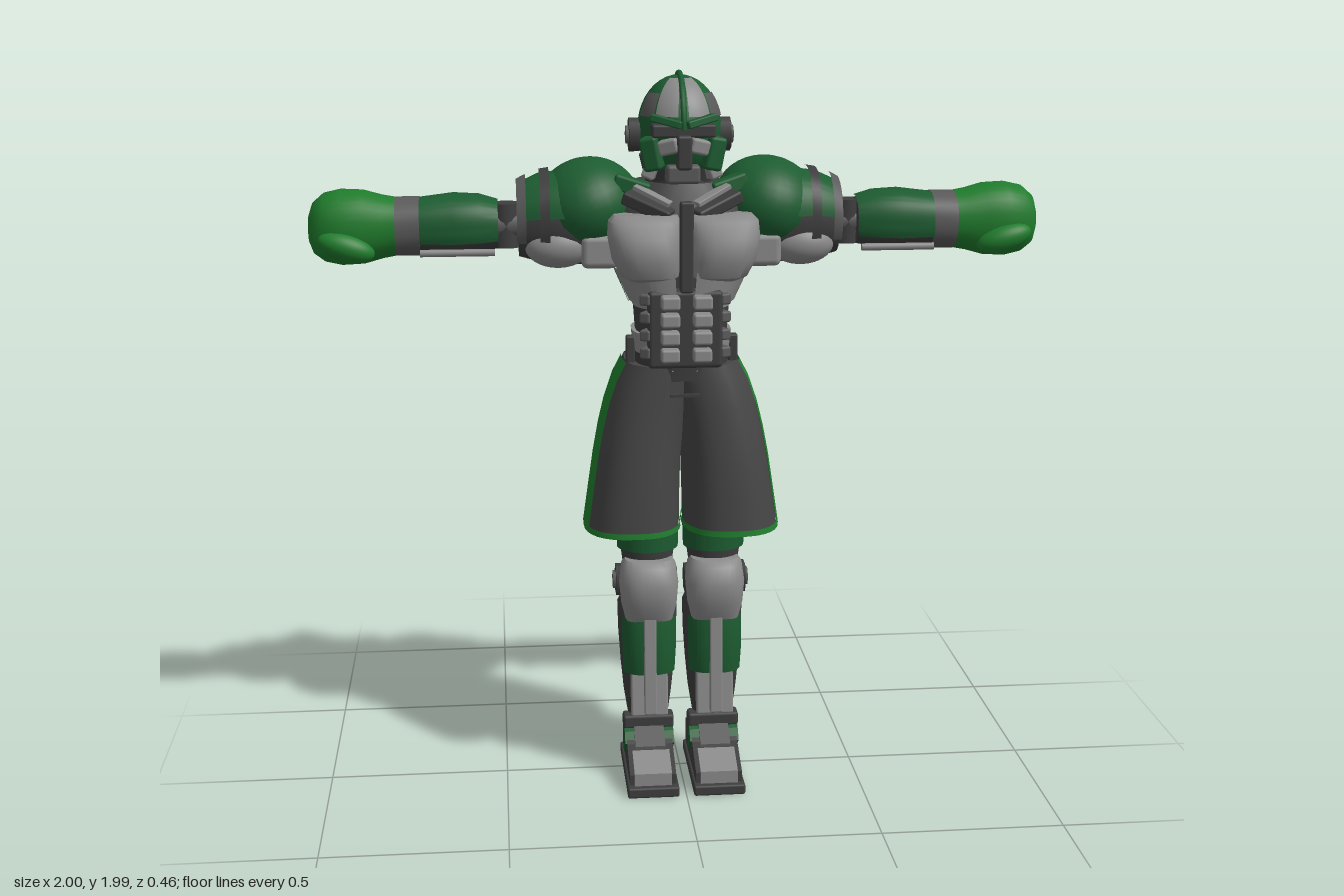
import * as THREE from 'three';
import { RoundedBoxGeometry } from 'three/addons/geometries/RoundedBoxGeometry.js';
import { toCreasedNormals } from 'three/addons/utils/BufferGeometryUtils.js';

const mat = (name, color, side = THREE.FrontSide) => new THREE.MeshStandardMaterial({ name, color, side });
const D = Math.PI / 180;

// Stack of super-ellipse sections [y, cx, cz, rx, rz]; angle 0 = +x, 90 = +z. Partial angles give panels.
function loft(sections, { e = 2, from = 0, to = 360, grow = 0, cap = true, n = 32 } = {}) {
  const pos = [], idx = [], pw = (v) => Math.sign(v) * Math.abs(v) ** (2 / e);
  const ring = ([y, cx, cz, rx, rz]) => {
    for (let j = 0; j <= n; j++) {
      const a = (from + (to - from) * j / n) * D;
      pos.push(cx + (rx + grow) * pw(Math.cos(a)), y, cz + (rz + grow) * pw(Math.sin(a)));
    }
  };
  sections.forEach(ring);
  for (let i = 0; i < sections.length - 1; i++) for (let j = 0; j < n; j++) {
    const a = i * (n + 1) + j, b = a + n + 1;
    idx.push(a, b, a + 1, b, b + 1, a + 1);
  }
  if (cap && to - from === 360) [sections[0], sections.at(-1)].forEach((s, k) => {
    const c = pos.length / 3;
    pos.push(s[1], s[0], s[2]);
    ring(s);
    for (let j = 1; j <= n; j++) k ? idx.push(c, c + j + 1, c + j) : idx.push(c, c + j, c + j + 1);
  });
  const g = new THREE.BufferGeometry();
  g.setAttribute('position', new THREE.Float32BufferAttribute(pos, 3));
  g.setIndex(idx);
  return toCreasedNormals(g, 0.7);
}
const at = (g, x, y, z, rx = 0, ry = 0, rz = 0) => g.rotateX(rx).rotateY(ry).rotateZ(rz).translate(x, y, z);
const box = (w, h, d, x, y, z, ...r) => at(new THREE.BoxGeometry(w, h, d), x, y, z, ...r);
const rbox = (w, h, d, x, y, z, ...r) => at(new RoundedBoxGeometry(w, h, d, 2, Math.min(w, h, d) * 0.2), x, y, z, ...r);
const ball = (rx, ry, rz, x, y, z, ...r) => at(new THREE.SphereGeometry(1, 32, 20).scale(rx, ry, rz), x, y, z, ...r);
const disc = (r, w, x, y, z, sides = 24) => at(new THREE.CylinderGeometry(r, r, w, sides), x, y, z, 0, 0, Math.PI / 2);
// Arm lofts run along +x; local angle 180 = up, 90 = front, 0 = down
const armLoft = (s, o) => loft(s, o).rotateZ(-Math.PI / 2).translate(0, 1.58, -0.055);

function mirrored(geometry) {
  const g = (geometry.index ? geometry.toNonIndexed() : geometry.clone()).scale(-1, 1, 1);
  for (const a of Object.values(g.attributes)) for (let i = 0; i < a.count; i += 3) for (let k = 0; k < a.itemSize; k++) {
    const t = a.getComponent(i + 1, k);
    a.setComponent(i + 1, k, a.getComponent(i + 2, k));
    a.setComponent(i + 2, k, t);
  }
  return g;
}
// Side profile given as (z, y) points, extruded across x
function sideProfile(points, width, x) {
  const s = new THREE.Shape(points.map(([z, y]) => new THREE.Vector2(z, y)));
  return new THREE.ExtrudeGeometry(s, { depth: width, bevelEnabled: false }).rotateY(-Math.PI / 2).translate(x + width / 2, 0, 0);
}

export function createModel() {
  const dark = mat('dark metal', 0x3e3e3e), mid = mat('mid grey metal', 0x5a5a5a), grey = mat('light grey armour', 0x8a8a8a);
  const green = mat('dark green armour', 0x1d5c31), bright = mat('bright green', 0x207c2d);
  const cloth = mat('shorts cloth', 0x464646, THREE.DoubleSide), trim = mat('shorts green', 0x20802e, THREE.DoubleSide);
  const root = new THREE.Group();
  const add = (name, g, m) => {
    const mesh = new THREE.Mesh(g, m);
    mesh.name = name;
    root.add(mesh);
  };
  const pair = (name, g, m) => {
    add(name + 'Left', g, m);
    add(name + 'Right', mirrored(g), m);
  };

  // Head
  const patch = (p0, p1, t0, t1, k) => new THREE.SphereGeometry(1, 14, 10, p0 * D, (p1 - p0) * D, t0 * D, (t1 - t0) * D)
    .scale(0.113 * k, 0.143 * k, 0.13 * k).translate(0, 1.84, -0.005);
  add('skull', ball(0.113, 0.143, 0.13, 0, 1.84, -0.005), green);
  pair('foreheadPlate', patch(97, 130, 22, 74, 1.03), grey);
  pair('templePlate', patch(132, 165, 48, 75, 1.03), mid);
  add('crest', at(new THREE.TorusGeometry(0.139, 0.008, 8, 32, 165 * D), 0, 1.848, -0.008, 0, -Math.PI / 2, 0).rotateX(0), green);
  add('visor', rbox(0.17, 0.035, 0.06, 0, 1.845, 0.105), dark);
  pair('brow', rbox(0.085, 0.02, 0.04, 0.045, 1.87, 0.12, 0, 0.3, 0.25), green);
  pair('cheek', rbox(0.05, 0.09, 0.09, 0.075, 1.785, 0.07, 0, 0.35, -0.2), green);
  pair('mouthPlate', rbox(0.055, 0.04, 0.04, 0.038, 1.805, 0.122, 0, 0.4, -0.25), grey);
  add('noseGuard', rbox(0.04, 0.09, 0.045, 0, 1.79, 0.13), dark);
  add('chin', rbox(0.09, 0.05, 0.09, 0, 1.73, 0.08), mid);
  pair('jaw', rbox(0.035, 0.06, 0.11, 0.075, 1.74, 0.03, 0, 0.2, 0.4), grey);
  pair('earDisc', disc(0.045, 0.03, 0.122, 1.825, -0.005, 8), dark);
  pair('earCap', disc(0.024, 0.012, 0.139, 1.825, -0.005, 8), mid);
  add('neckGuard', loft([[1.7, 0, -0.025, 0.09, 0.085], [1.77, 0, -0.02, 0.108, 0.115]], {}), dark);
  add('neck', loft([[1.58, 0, -0.02, 0.1, 0.09], [1.74, 0, -0.01, 0.075, 0.075]]), dark);

  // Torso
  const trunk = [[1.38, 0, 0.01, 0.135, 0.12], [1.46, 0, -0.005, 0.17, 0.135], [1.56, 0, -0.02, 0.195, 0.15],
    [1.64, 0, -0.03, 0.18, 0.14], [1.7, 0, -0.03, 0.12, 0.1]];
  add('trunk', loft(trunk, { e: 2.4 }), dark);
  add('backArmour', loft(trunk, { e: 2.4, from: 170, to: 370, grow: 0.008 }), green);
  pair('ribPlate', loft([[1.39, 0, 0.02, 0.138, 0.15], [1.48, 0, 0.02, 0.18, 0.16]], { e: 2.6, from: 12, to: 85, grow: 0.008 }), grey);
  pair('chestPlate', loft([[1.45, 0.09, 0.1, 0.055, 0.06], [1.465, 0.092, 0.11, 0.078, 0.09], [1.51, 0.1, 0.115, 0.092, 0.105],
    [1.57, 0.105, 0.115, 0.098, 0.102], [1.61, 0.104, 0.105, 0.096, 0.085], [1.625, 0.1, 0.1, 0.085, 0.06]], { e: 2.8 }), grey);
  pair('collarPlate', rbox(0.14, 0.035, 0.06, 0.09, 1.645, 0.09, 0.3, 0.4, 0.4), dark);
  pair('collarStrip', rbox(0.11, 0.014, 0.03, 0.08, 1.672, 0.085, 0.3, 0.4, 0.45), grey);
  pair('collarGreen', rbox(0.1, 0.045, 0.06, 0.13, 1.69, 0.03, 0, 0.2, 0.3), green);
  add('breastbone', rbox(0.035, 0.24, 0.03, 0, 1.55, 0.2), dark);

  // Waist bands and abdominal blocks
  [[1.18, 1.25, dark, 0], [1.25, 1.305, grey, 0.006], [1.305, 1.375, dark, 0], [1.375, 1.415, grey, 0.008]].forEach(([a, b, m, grow], i) =>
    add('waistBand' + i, loft([[a, 0, 0.03, 0.125, 0.128], [b, 0, 0.03, 0.13, 0.132]], { e: 2.6, grow }), m));
  add('abdomenBase', rbox(0.2, 0.21, 0.06, 0, 1.325, 0.15), dark);
  for (let i = 0; i < 4; i++) {
    pair('abBlock' + i, rbox(0.05, 0.036, 0.045, 0.043, 1.26 + i * 0.048, 0.19 + i * 0.004), grey);
    pair('sideRib' + i, rbox(0.03, 0.03, 0.045, 0.1, 1.262 + i * 0.048, 0.155, 0, 0.5), mid);
  }
  pair('hipPost', rbox(0.025, 0.08, 0.03, 0.14, 1.25, 0.06), dark);
  pair('rearHipPost', rbox(0.025, 0.08, 0.03, 0.1, 1.24, -0.08), dark);
  add('spine', rbox(0.08, 0.3, 0.05, 0, 1.35, -0.09), dark);

  // Backpack
  add('backpack', sideProfile([[-0.185, 1.46], [-0.185, 1.64], [-0.225, 1.64], [-0.23, 1.46]], 0.165, 0), dark);
  add('backpackMount', box(0.08, 0.1, 0.06, 0, 1.58, -0.17), dark);

  // Shoulders and upper arms
  pair('shoulderPad', ball(0.145, 0.13, 0.162, 0.245, 1.63, -0.06, 0, 0, -0.25), green);
  const upper = [[0.2, -0.01, 0, 0.115, 0.12], [0.3, -0.015, 0, 0.125, 0.13], [0.38, -0.015, 0, 0.115, 0.12], [0.435, -0.01, 0, 0.095, 0.098]];
  pair('upperArm', armLoft(upper, { e: 2.3 }), dark);
  pair('upperArmTop', armLoft(upper.slice(1), { e: 2.3, from: 95, to: 265, grow: 0.008 }), green);
  pair('shoulderBand', armLoft([[0.352, -0.02, 0, 0.127, 0.133], [0.378, -0.02, 0, 0.123, 0.129]], { e: 2.3, from: 70, to: 290, grow: 0.006 }), dark);
  pair('shoulderRim', armLoft([[0.415, -0.02, 0, 0.108, 0.112], [0.44, -0.015, 0, 0.1, 0.104]], { from: 60, to: 300, grow: 0.008 }), mid);
  pair('bicepsPlate', ball(0.09, 0.058, 0.06, 0.33, 1.53, 0.02), grey);
  pair('armpitPlate', rbox(0.1, 0.09, 0.1, 0.22, 1.52, 0.03), grey);

  // Elbows and forearms
  pair('elbowBar', disc(0.04, 0.1, 0.465, 1.58, -0.055), mid);
  pair('elbowHinge', at(new THREE.CylinderGeometry(0.04, 0.04, 0.12, 16), 0.468, 1.58, -0.055), dark);
  pair('elbowGuard', rbox(0.045, 0.09, 0.06, 0.468, 1.58, -0.115), grey);
  const fore = [[0.49, 0, 0, 0.062, 0.072], [0.54, -0.003, 0, 0.074, 0.086], [0.61, -0.003, 0, 0.078, 0.092], [0.7, 0, 0, 0.07, 0.08], [0.77, 0, 0, 0.07, 0.076]];
  pair('forearm', armLoft(fore, { e: 2.5 }), dark);
  pair('forearmArmour', armLoft(fore.slice(0, 4), { e: 2.5, from: 65, to: 275, grow: 0.007 }), green);
  pair('forearmRod', disc(0.01, 0.2, 0.6, 1.515, 0.015, 10), grey);
  pair('wristBand', armLoft([[0.7, 0, 0, 0.073, 0.081], [0.765, 0, 0, 0.073, 0.08]], { e: 2.3, grow: 0.006 }), mid);

  // Boxing gloves
  pair('glove', armLoft([[0.762, 0, 0, 0.078, 0.082], [0.8, 0, 0, 0.085, 0.084], [0.85, 0, 0, 0.099, 0.09], [0.91, 0, 0, 0.102, 0.092],
    [0.955, 0, 0, 0.092, 0.084], [0.985, 0.002, 0, 0.068, 0.06], [0.997, 0.004, 0, 0.035, 0.03], [1, 0.005, 0, 0.004, 0.004]], { e: 2.3 }), bright);
  pair('gloveThumb', ball(0.078, 0.038, 0.04, 0.895, 1.535, 0.022, 0, 0, 0.3), bright);

  // Shorts
  const shorts = [[0.755, 0.137, 0.025, 0.13, 0.16], [0.85, 0.129, 0.022, 0.124, 0.16], [0.95, 0.12, 0.02, 0.118, 0.158], [1.03, 0.108, 0.015, 0.115, 0.156],
    [1.1, 0.094, 0.012, 0.112, 0.154], [1.17, 0.074, 0.01, 0.108, 0.151], [1.22, 0.056, 0.01, 0.1, 0.146]];
  pair('shortsLeg', loft(shorts, { e: 2.5, cap: false }), cloth);
  add('shortsTop', loft([[1.19, 0, 0.01, 0.165, 0.142], [1.218, 0, 0.01, 0.154, 0.14]], { e: 3 }), cloth);
  pair('shortsStripe', loft(shorts, { e: 2.5, from: -18, to: 25, grow: 0.005 }), trim);
  pair('shortsHem', loft([[0.748, 0.137, 0.025, 0.131, 0.161], [0.764, 0.136, 0.025, 0.129, 0.16]], { e: 2.5, grow: 0.004, cap: false }), trim);
  add('waistTie', box(0.07, 0.01, 0.01, 0, 1.212, 0.153), grey);
  add('frontSeam', box(0.08, 0.008, 0.01, 0, 1.142, 0.16), dark);
  add('rearPouch', rbox(0.075, 0.075, 0.03, 0, 1.13, -0.145), dark);

  // Thighs and knees
  const X = 0.093;
  const thigh = [[0.6, X, 0.015, 0.065, 0.06], [0.68, X, 0.02, 0.076, 0.07], [0.8, X, 0.02, 0.08, 0.076], [1.05, X, 0.01, 0.08, 0.085]];
  pair('thigh', loft(thigh), dark);
  pair('thighPlate', loft(thigh.slice(1, 3), { from: 5, to: 175, grow: 0.01 }), green);
  pair('kneeCore', disc(0.055, 0.13, X, 0.58, 0.01), dark);
  pair('kneePad', loft([[0.48, X, 0.075, 0.066, 0.035], [0.53, X, 0.07, 0.078, 0.065], [0.59, X, 0.065, 0.083, 0.08], [0.64, X, 0.06, 0.076, 0.07], [0.655, X, 0.06, 0.066, 0.05]], { e: 2.5 }), grey);
  pair('kneeHinge', disc(0.046, 0.03, X + 0.075, 0.58, 0.018, 6), dark);
  pair('kneeBolt', disc(0.026, 0.01, X + 0.093, 0.58, 0.018, 6), mid);
  pair('innerKneeHinge', disc(0.042, 0.02, X - 0.072, 0.58, 0.018, 6), dark);

  // Shins and calves
  const shin = [[0.18, X, 0.01, 0.058, 0.045], [0.245, X, -0.005, 0.068, 0.075], [0.33, X, -0.005, 0.076, 0.09], [0.42, X, -0.005, 0.082, 0.096], [0.5, X, -0.005, 0.084, 0.094], [0.55, X, 0, 0.062, 0.06]];
  pair('shin', loft(shin, { e: 2.6 }), dark);
  pair('shinArmour', loft([[0.32, X, 0.01, 0.076, 0.09], [0.4, X, 0.015, 0.08, 0.098], [0.485, X, 0.01, 0.08, 0.096]], { e: 2.6, from: 30, to: 150, grow: 0.005 }), green);
  pair('shinStrip', rbox(0.035, 0.3, 0.02, X, 0.36, 0.112, -0.06), grey);
  pair('lowerShinPlate', rbox(0.105, 0.14, 0.03, X, 0.26, 0.072, -0.12), grey);
  pair('calfArmour', loft([[0.26, X, -0.015, 0.066, 0.075], [0.38, X, -0.015, 0.08, 0.095], [0.53, X, -0.015, 0.078, 0.085]], { e: 2.6, from: 195, to: 345, grow: 0.01 }), green);

  // Ankles and feet
  pair('ankle', loft([[0.11, X, -0.03, 0.05, 0.06], [0.2, X, -0.03, 0.055, 0.058]], { e: 3 }), grey);
  pair('ankleCollar', rbox(0.145, 0.04, 0.05, X, 0.155, 0.025), dark);
  pair('sole', rbox(0.145, 0.03, 0.335, X, 0.015, 0.058), dark);
  pair('boot', sideProfile([[0.2, 0.03], [0.2, 0.06], [0.09, 0.105], [0.03, 0.145], [-0.03, 0.135], [-0.1, 0.1], [-0.105, 0.03]], 0.13, X), dark);
  pair('toeCap', sideProfile([[0.208, 0.03], [0.208, 0.066], [0.12, 0.1], [0.12, 0.03]], 0.105, X), grey);
  pair('instepPlate', sideProfile([[0.11, 0.09], [0.11, 0.106], [0.04, 0.15], [0.04, 0.12]], 0.085, X), mid);
  pair('bootBand', sideProfile([[0.085, 0.105], [0.06, 0.132], [0.02, 0.152], [0.0, 0.06], [0.03, 0.06]], 0.14, X), green);
  return root;
}
